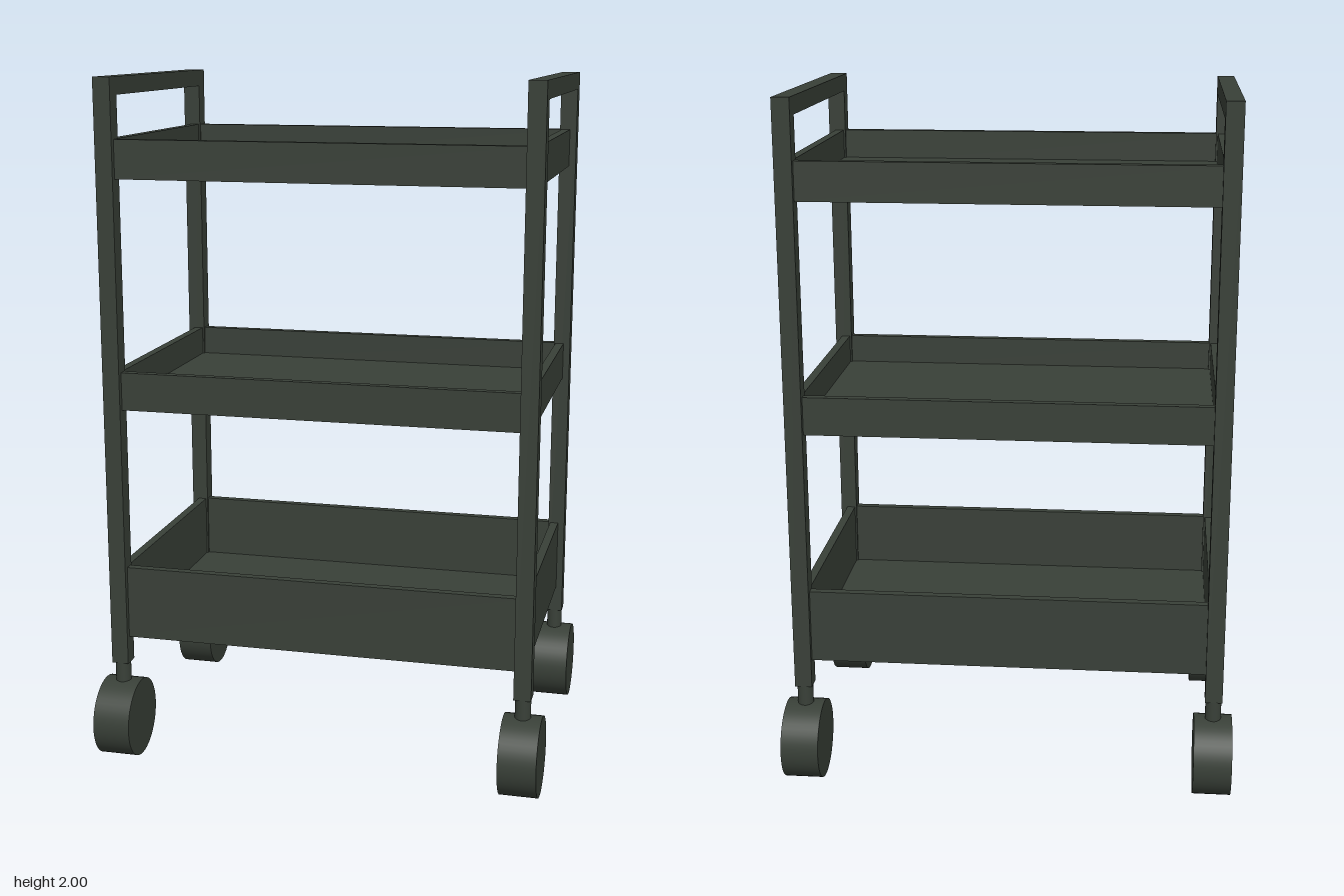
import * as THREE from 'three';

export function createModel() {
  const model = new THREE.Group();
  model.name = 'trolley';
  const paint = new THREE.MeshStandardMaterial({ color: 0x394038 });
  paint.name = 'dark green grey paint';

  const add = (parent, name, geometry, x, y, z) => {
    const mesh = new THREE.Mesh(geometry, paint);
    mesh.name = name;
    mesh.position.set(x, y, z);
    parent.add(mesh);
    return mesh;
  };
  const box = (parent, name, w, h, d, x, y, z) =>
    add(parent, name, new THREE.BoxGeometry(w, h, d), x, y, z);

  const postX = 0.6, postZ = 0.38, tube = 0.05;

  // Open trays: a floor and four thin walls
  const halfW = 0.605, halfD = 0.388, wall = 0.025;
  const trays = [
    ['bottomTray', 0.37, 0.585],
    ['middleTray', 1.06, 1.17],
    ['topTray', 1.72, 1.83],
  ];
  for (const [name, y0, y1] of trays) {
    const tray = new THREE.Group();
    tray.name = name;
    model.add(tray);
    const h = y1 - y0, y = (y0 + y1) / 2;
    box(tray, 'trayFloor', 2 * (halfW - wall), wall, 2 * (halfD - wall), 0, y0 + wall / 2, 0);
    for (const s of [-1, 1]) {
      box(tray, s > 0 ? 'frontWall' : 'backWall', 2 * halfW, h, wall, 0, y, s * (halfD - wall / 2));
      box(tray, s > 0 ? 'leftWall' : 'rightWall', wall, h, 2 * (halfD - wall), s * (halfW - wall / 2), y, 0);
    }
  }

  for (const sx of [-1, 1]) {
    // Handle bar joining the two posts of each side
    box(model, sx > 0 ? 'leftHandle' : 'rightHandle', tube, tube, 2 * postZ - tube, sx * postX, 2 - tube / 2, 0);

    for (const sz of [-1, 1]) {
      const corner = (sz > 0 ? 'front' : 'back') + (sx > 0 ? 'Left' : 'Right');
      const x = sx * postX, z = sz * postZ;
      box(model, corner + 'Post', tube, 1.71, tube, x, 1.145, z);

      // Caster: round stem and solid wheel on a sideways axle
      const caster = new THREE.Group();
      caster.name = corner + 'Caster';
      caster.position.set(x, 0, z);
      model.add(caster);
      add(caster, 'stem', new THREE.CylinderGeometry(0.023, 0.023, 0.12, 24), 0, 0.24, 0);
      const wheel = new THREE.CylinderGeometry(0.116, 0.116, 0.11, 48).rotateZ(Math.PI / 2);
      add(caster, 'wheel', wheel, 0, 0.116, 0);
    }
  }
  return model;
}
